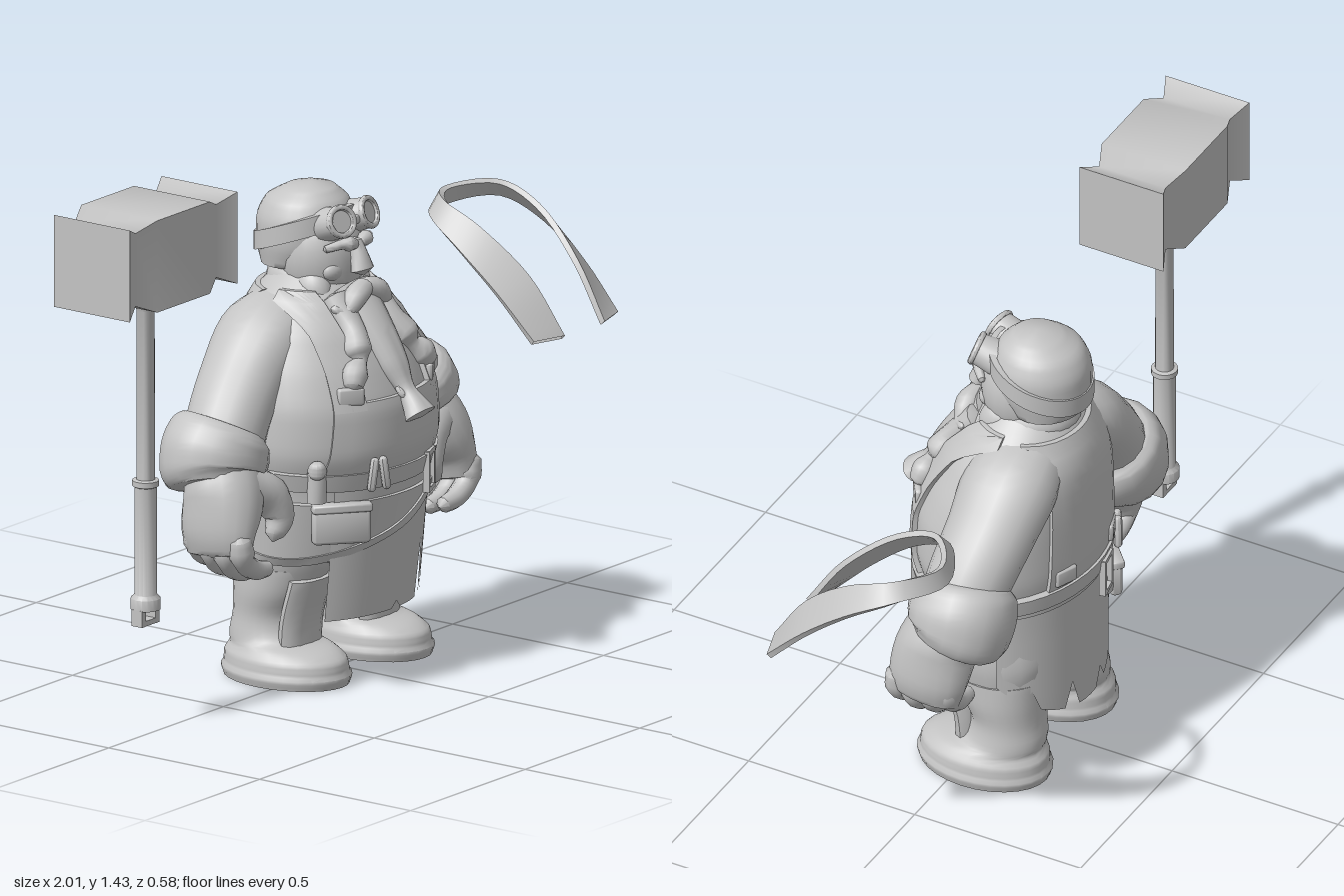
import * as THREE from 'three';
import { toCreasedNormals } from 'three/addons/utils/BufferGeometryUtils.js';
import { RoundedBoxGeometry } from 'three/addons/geometries/RoundedBoxGeometry.js';

const V = (x, y, z) => new THREE.Vector3(x, y, z);
const clay = new THREE.MeshStandardMaterial({ color: 0xc4c4c4, side: THREE.DoubleSide });
clay.name = 'grey clay';

// Surface from f(i, j): i runs around, j runs along
function grid(f, nu, nv, wrap = false) {
  const pos = [], idx = [], cols = wrap ? nu : nu + 1;
  for (let j = 0; j <= nv; j++) for (let i = 0; i < cols; i++) pos.push(...f(i, j).toArray());
  for (let j = 0; j < nv; j++) for (let i = 0; i < nu; i++) {
    const k = (i + 1) % cols, a = j * cols + i, b = j * cols + k;
    idx.push(a, b, b + cols, a, b + cols, a + cols);
  }
  const g = new THREE.BufferGeometry();
  g.setAttribute('position', new THREE.Float32BufferAttribute(pos, 3));
  g.setIndex(idx);
  return g;
}

// Rounded limb through [x, y, z, radius along ref, radius across]; level keeps its sections horizontal
function limb(pts, { ref = V(0, 0, 1), bulge = .45, nu = 18, level = false } = {}) {
  const path = new THREE.CatmullRomCurve3(pts.map(p => V(p[0], p[1], p[2])));
  const size = new THREE.CatmullRomCurve3(pts.map(p => V(p[3], p[4] ?? p[3], 0)));
  const n = (pts.length - 1) * 4;
  return grid((i, j) => {
    const t = THREE.MathUtils.clamp((j - 1) / n, 0, 1);
    const c = path.getPoint(t), r = size.getPoint(t), d = level ? V(0, 1, 0) : path.getTangent(t);
    if (j === 0) return c.addScaledVector(d, -bulge * Math.min(r.x, r.y));
    if (j === n + 2) return c.addScaledVector(d, bulge * Math.min(r.x, r.y));
    const n1 = ref.clone().addScaledVector(d, -ref.dot(d)).normalize();
    const n2 = d.clone().cross(n1), a = i / nu * Math.PI * 2;
    return c.addScaledVector(n1, r.x * Math.cos(a)).addScaledVector(n2, r.y * Math.sin(a));
  }, nu, n + 2, true);
}

// Torso sections: height, half width, front z, back z
const torso = [[.30, .20, .06, -.17], [.34, .265, .14, -.22], [.42, .28, .18, -.25], [.55, .288, .19, -.255],
  [.65, .31, .212, -.265], [.75, .305, .207, -.265], [.85, .28, .172, -.265], [.95, .235, .12, -.26],
  [1.03, .17, .06, -.232], [1.08, .11, .02, -.19]];
const torsoCurve = new THREE.CatmullRomCurve3(torso.map(r => V(r[1], r[2], r[3])));
function section(y) {
  let i = 0;
  while (i < torso.length - 2 && y > torso[i + 1][0]) i++;
  const f = THREE.MathUtils.clamp((y - torso[i][0]) / (torso[i + 1][0] - torso[i][0]), 0, 1);
  return torsoCurve.getPoint((i + f) / (torso.length - 1));
}
// Point on the torso at angle a (0 = front, + = left) and height y
function onTorso(a, y, off = 0) {
  const s = section(y), rz = (s.y - s.z) / 2;
  return V((s.x + off) * Math.sin(a), y, (s.y + s.z) / 2 + (rz + off) * Math.cos(a));
}
// Raised band wrapped round the torso between two heights
function band(a0, a1, lo, hi, off, nu = 40) {
  return grid((i, j) => {
    const a = a0 + (a1 - a0) * i / nu;
    return onTorso(a, j < 2 ? lo(a) : hi(a), j === 0 || j === 3 ? -.01 : off);
  }, nu, 3);
}
// Cloth panel lying on the torso between two x positions, widening downwards by flare
function panel(x0, x1, y0, y1, back, flare, off = .014) {
  return grid((i, j) => {
    const y = y0 + (y1 - y0) * THREE.MathUtils.clamp(j - 1, 0, 12) / 12;
    const x = (x0 + (x1 - x0) * THREE.MathUtils.clamp(i - 1, 0, 10) / 10) * (1 + flare * (1 - y));
    const a = Math.asin(THREE.MathUtils.clamp(x / section(y).x, -1, 1));
    const edge = i === 0 || i === 12 || j === 0 || j === 14;
    return onTorso(back ? Math.PI - a : a, y, edge ? -.005 : off);
  }, 12, 14);
}
// Hanging cloth with slits cut into the hem
function skirt(a0, a1, hem, slits, lean) {
  const nu = 24;
  return grid((i, j) => {
    const a = a0 + (a1 - a0) * i / nu;
    const bottom = hem(i / nu) + (slits[i] ?? 0), y = bottom + (.54 - bottom) * j / 6;
    const p = onTorso(a, Math.max(y, .5), .012);
    p.y = y;
    p.z -= lean * Math.max(0, .5 - y);
    return p;
  }, nu, 6);
}

export function createModel() {
  const model = new THREE.Group(), body = new THREE.Group();
  body.name = 'dwarfSmith';
  body.position.x = .015;
  model.add(body);
  const add = (name, geo, parent = body, crease = .8) => {
    const m = new THREE.Mesh(toCreasedNormals(geo, crease), clay);
    m.name = name;
    parent.add(m);
    return m;
  };
  const place = (m, a, y, off) => { m.position.copy(onTorso(a, y, off)); m.rotation.y = a; return m; };
  const ball = (name, x, y, z, rx, ry, rz) => {
    const m = add(name, new THREE.SphereGeometry(1, 24, 16));
    m.position.set(x, y, z);
    m.scale.set(rx, ry, rz);
  };

  // Torso and clothing
  add('torso', grid((i, j) => onTorso(i / 40 * Math.PI * 2, .30 + .78 * j / 36), 40, 36, true));
  add('bib', panel(-.185, .185, .57, .78, false, .65));
  add('backPanel', panel(-.15, .15, .58, 1.04, true, .3));
  add('belt', band(0, Math.PI * 2, a => .54 + .01 * (1 - Math.cos(a)), a => .588 + .01 * (1 - Math.cos(a)), .022));
  add('frontApron', skirt(-.77, .77, () => .18, { 13: .02, 20: .16, 22: .07 }, .1));
  add('backSkirt', skirt(Math.PI - 1.15, Math.PI + 1.15, u => .18 + .14 * Math.abs(2 * u - 1) ** 2,
    { 4: .05, 9: .08, 14: .05, 19: .06 }, 0));

  // Sagging tool belt on the right side
  const sag = a => .345 + .15 * ((a + 1.3) / 1.75) ** 2;
  add('toolPouch', band(-2.9, .45, sag, a => Math.max(sag(a) + .01, .51), .024));
  add('pouchTrim', band(-2.95, .5, a => sag(a) - .012, a => sag(a) + .012, .03));
  for (const a of [-.7, -2.4]) {
    place(add('pocket', new RoundedBoxGeometry(.16, .1, .035, 3, .015)), a, .45, .02);
    place(add('pocketFlap', new RoundedBoxGeometry(.165, .025, .042, 3, .01)), a, .5, .02);
  }
  for (const a of [-.42, -.3, -2.55, -2.45])
    place(add('toolHandle', new THREE.CapsuleGeometry(.012, .07, 4, 8)), a, .585, .03).rotation.z = a > -.35 ? .15 : -.15;
  place(add('vial', new THREE.CylinderGeometry(.026, .026, .08, 12)), -.95, .56, .02);
  place(add('vialStopper', new THREE.SphereGeometry(.026, 12, 8)), -.95, .61, .02);
  for (const a of [.42, Math.PI + .2]) {
    const frame = new THREE.Group();
    frame.name = 'buckle';
    for (const s of [-1, 1]) {
      add('buckleSide', new THREE.BoxGeometry(.013, .11, .018), frame).position.x = s * .028;
      add('buckleBar', new THREE.BoxGeometry(.065, .013, .018), frame).position.y = s * .05;
    }
    place(frame, a, .54, .026);
    body.add(frame);
  }

  // Mirrored parts
  for (const s of [-1, 1]) {
    const side = pts => pts.map(([x, ...r]) => [s * x, ...r]);
    add('shoulderStrap', panel(s * .115, s * .185, .76, 1.05, false, .65));
    place(add('strapClasp', new RoundedBoxGeometry(.075, .05, .02, 2, .008)), s * .6, .8, .012);
    place(add('backClasp', new RoundedBoxGeometry(.07, .05, .02, 2, .008)), Math.PI - s * .4, .64, .01);
    add('sleeve', limb(side([[.08, .97, -.12, .11, .085], [.19, .915, -.12, .132, .105], [.28, .83, -.115, .122, .1],
      [.365, .73, -.1, .115, .102], [.40, .66, -.09, .11, .11]])));
    add('rolledCuff', limb(side([[.38, .725, -.1, .116, .11], [.392, .702, -.102, .14, .132], [.412, .655, -.105, .146, .146],
      [.43, .605, -.1, .142, .138], [.44, .575, -.09, .115, .115]]), { bulge: .1 }));
    add('hand', limb(side([[.42, .62, -.08, .1, .1], [.447, .55, -.05, .11, .102], [.482, .47, -.04, .112, .07],
      [.487, .41, -.033, .1, .05]])));
    for (let f = 0; f < 4; f++) {
      const z = .045 - f * .05, up = [.012, 0, .006, .025][f];
      add('finger', limb(side([[.502, .45 + up, z, .03], [.487, .39 + up, z, .03], [.44, .355 + up, z, .028],
        [.385, .345 + up, z, .022]]), { bulge: .8, nu: 10 }));
    }
    add('thumb', limb(side([[.41, .58, -.02, .07, .06], [.345, .545, .02, .055, .055], [.325, .485, .04, .042, .04],
      [.345, .44, .04, .026]]), { bulge: .8, nu: 12 }));
    add('trouserLeg', limb(side([[.15, .44, -.05, .15, .13], [.16, .35, -.07, .15, .12], [.165, .27, -.08, .12, .10]])));
    add('boot', limb(side([[.18, 0, -.045, .184, .132], [.18, .035, -.045, .184, .132], [.18, .065, -.047, .18, .128],
      [.178, .088, -.058, .155, .115], [.172, .11, -.1, .115, .106], [.164, .17, -.108, .1, .104], [.162, .24, -.09, .118, .113],
      [.163, .31, -.075, .135, .112]]), { bulge: 0, nu: 28, level: true }));
    add('shinFlap', limb(side([[.17, .07, -.01, .04, .08], [.17, .17, -.002, .038, .082], [.168, .285, .032, .038, .088]]),
      { bulge: 0, nu: 12, level: true }));

    // Face and goggles
    ball('cheek', s * .05, 1.095, .01, .04, .03, .028);
    ball('sideburn', s * .082, 1.03, -.035, .045, .07, .06);
    add('eyebrow', limb(side([[.012, 1.165, .055, .014], [.05, 1.172, .048, .014], [.09, 1.16, .015, .01]]),
      { bulge: .6, nu: 10 }));
    add('moustache', limb(side([[0, 1.05, .075, .028, .025], [.045, 1.035, .082, .034, .03], [.085, 1.0, .075, .024, .02],
      [.115, 1.01, .06, .01]]), { bulge: .8, nu: 12 }));
    add('sideBraid', limb(side([[.075, 1.02, .03, .045], [.085, .95, .1, .036], [.105, .905, .13, .042], [.115, .88, .145, .022],
      [.145, .855, .155, .036], [.165, .825, .165, .026]]), { nu: 12 }));
    const eye = new THREE.Group();
    eye.name = 'goggleCup';
    eye.position.set(s * .054, 1.225, .018);
    eye.rotation.set(-.35, s * .2, 0);
    eye.scale.y = .92;
    body.add(eye);
    add('cup', new THREE.CylinderGeometry(.044, .052, .06, 20).rotateX(Math.PI / 2), eye);
    add('cupRim', new THREE.TorusGeometry(.041, .009, 8, 24), eye).position.z = .03;
  }

  // Head
  ball('face', 0, 1.12, -.065, .12, .15, .115);
  ball('neck', 0, 1.05, -.1, .12, .08, .12);
  add('cap', limb([[0, 1.09, -.135, .1, .115], [0, 1.15, -.12, .132, .128], [0, 1.205, -.115, .136, .13],
    [0, 1.265, -.113, .112, .108], [0, 1.298, -.102, .066, .066]], { bulge: .17, nu: 28, level: true }), body, 1.2);
  const headband = a => V(.14 * Math.sin(a), 1.185 + .05 * Math.cos(a), -.115 + .14 * Math.cos(a));
  add('goggleStrap', grid((i, j) => {
    const a = i / 40 * Math.PI * 2, p = headband(a);
    p.y += j < 2 ? -.026 : .026;
    if (j === 0 || j === 3) { p.x *= .88; p.z = -.115 + (p.z + .115) * .88; }
    return p;
  }, 40, 3, true));
  add('goggleBridge', new RoundedBoxGeometry(.05, .025, .03, 2, .01)).position.set(0, 1.225, .035);
  add('nose', limb([[0, 1.17, .045, .018], [0, 1.13, .06, .024, .026], [0, 1.095, .07, .028, .036]], { bulge: .6, nu: 14 }));
  ball('lowerLip', 0, 1.015, .065, .03, .018, .03);
  add('beard', limb([[0, 1.03, .02, .08, .06], [0, .96, .09, .064, .05], [0, .9, .14, .054, .042], [0, .85, .175, .046, .036],
    [0, .79, .215, .026, .024], [0, .755, .243, .036, .032], [0, .73, .262, .05, .038]], { ref: V(1, 0, 0), bulge: .2 }));
  const tie = add('beardTie', new THREE.TorusGeometry(.024, .01, 8, 16));
  tie.position.set(0, .79, .215);
  tie.rotation.x = Math.PI / 2 + .8;

  // War hammer
  const hammer = new THREE.Group();
  hammer.name = 'hammer';
  hammer.position.set(-.765, 0, -.056);
  model.add(hammer);
  const rows = [[-.235, 0], [-.235, .126], [-.176, .1], [-.115, .126], [.115, .126], [.176, .1], [.235, .126], [.235, 0]];
  add('hammerHead', grid((i, j) => {
    const [x, h] = rows[j], a = (i + .5) * Math.PI / 2;
    return V(x, 1.305 + h * Math.SQRT2 * Math.cos(a), h * Math.SQRT2 * Math.sin(a));
  }, 4, rows.length - 1, true), hammer, 1);
  const shaft = [[0, .32], [.04, .32], [.04, .35], [.03, .36], [.03, .655], [.036, .658], [.036, .673], [.025, .676],
    [.024, 1.14], [.045, 1.18], [0, 1.18]];
  add('hammerShaft', new THREE.LatheGeometry(shaft.map(p => new THREE.Vector2(...p)), 16), hammer);
  for (const s of [-1, 1])
    add('pommelSide', new THREE.BoxGeometry(.017, .045, .034), hammer).position.set(s * .03, .3, 0);
  add('pommelBar', new THREE.BoxGeometry(.077, .014, .034), hammer).position.set(0, .285, 0);

  // Loose stole: paired outer and inner edges, mirrored about its middle
  const outer = [[.182, .77, .168], [.19, .885, .055], [.19, .985, -.07], [.15, 1.045, -.19], [0, 1.04, -.265]];
  const inner = [[.085, .77, .197], [.1, .92, .095], [.128, 1.04, -.05], [.118, 1.088, -.17], [0, 1.088, -.248]];
  const edge = pts => new THREE.CatmullRomCurve3(
    [...pts, ...pts.slice(0, -1).reverse().map(([x, y, z]) => [-x, y, z])].map(p => V(...p)));
  const A = edge(outer), B = edge(inner);
  add('stole', grid((i, j) => {
    const t = j / 40, a = A.getPoint(t), b = B.getPoint(t);
    const n = b.clone().sub(a).cross(A.getTangent(t)).normalize().multiplyScalar(i < 2 ? .008 : -.008);
    return (i === 0 || i === 3 ? a : b).add(n);
  }, 4, 40, true)).position.x = .795;

  return model;
}
